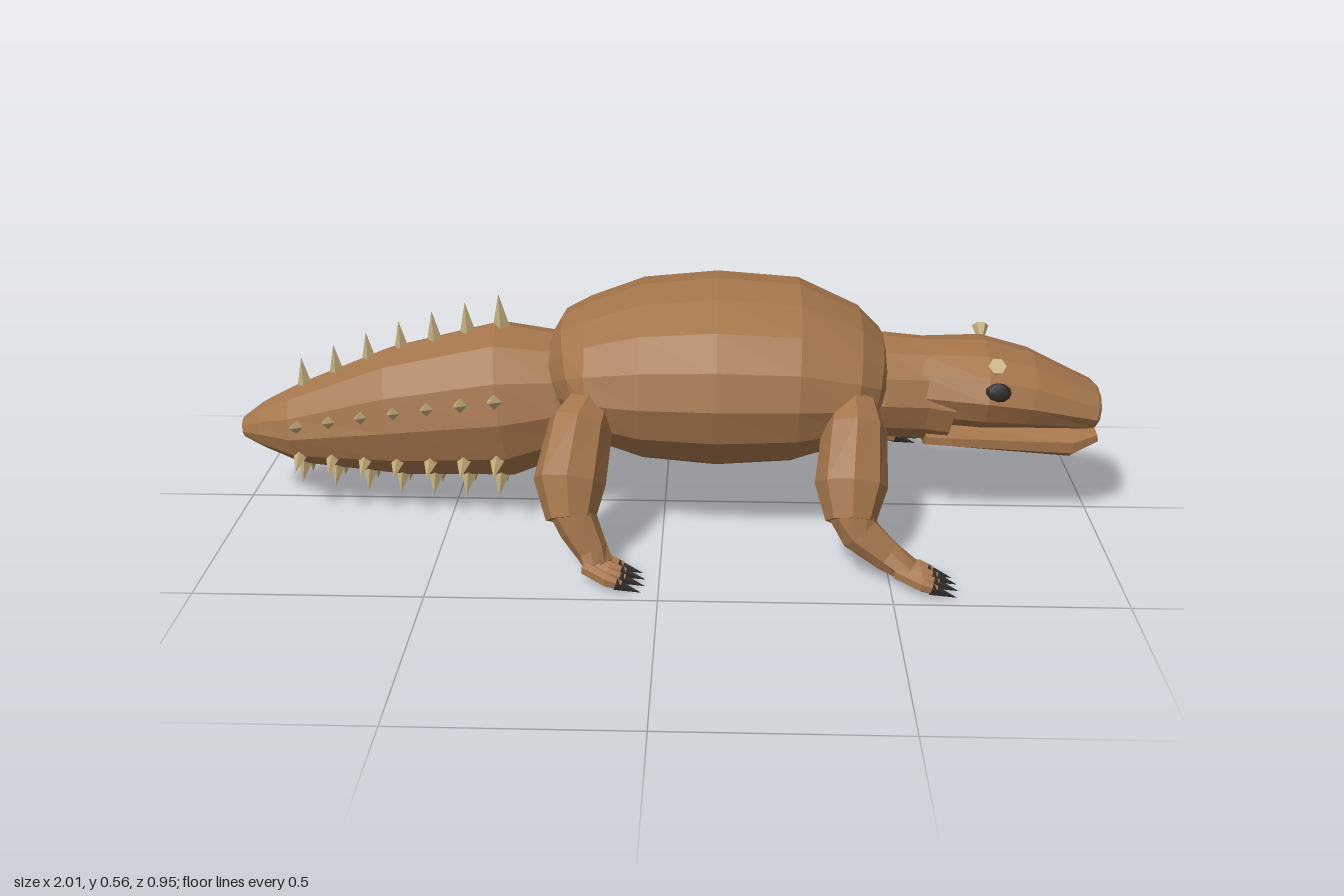
import * as THREE from 'three';

const V = (x, y, z) => new THREE.Vector3(x, y, z);

// Faceted skin over elliptical rings. Each ring is [x, y, z, radiusU, radiusV];
// U follows the ref direction, V is perpendicular to it and to the path.
function loft(rings, sides, ref) {
  const centres = rings.map((r) => V(r[0], r[1], r[2]));
  const pos = [], index = [];
  rings.forEach((r, i) => {
    const t = centres[Math.min(i + 1, rings.length - 1)].clone()
      .sub(centres[Math.max(i - 1, 0)]).normalize();
    const u = ref.clone().addScaledVector(t, -ref.dot(t)).normalize();
    const v = t.clone().cross(u);
    for (let j = 0; j < sides; j++) {
      const a = (j / sides) * Math.PI * 2;
      const p = centres[i].clone().addScaledVector(u, r[3] * Math.cos(a)).addScaledVector(v, r[4] * Math.sin(a));
      pos.push(p.x, p.y, p.z);
    }
  });
  const n = rings.length, first = n * sides;
  for (const c of [centres[0], centres[n - 1]]) pos.push(c.x, c.y, c.z);
  for (let j = 0; j < sides; j++) {
    const k = (j + 1) % sides;
    for (let i = 0; i < n - 1; i++) {
      const a = i * sides + j, b = i * sides + k;
      index.push(a, b, b + sides, a, b + sides, a + sides);
    }
    index.push(first, k, j, first + 1, (n - 1) * sides + j, (n - 1) * sides + k);
  }
  const g = new THREE.BufferGeometry();
  g.setAttribute('position', new THREE.Float32BufferAttribute(pos, 3));
  g.setIndex(index);
  const flat = g.toNonIndexed();
  flat.computeVertexNormals();
  return flat;
}

export function createModel() {
  const root = new THREE.Group();
  root.name = 'lizard';
  const material = (name, color) => {
    const m = new THREE.MeshStandardMaterial({ color });
    m.name = name;
    return m;
  };
  const skin = material('brown skin', 0xa4754b);
  const horn = material('tan horn', 0xc2ad7b);
  const dark = material('dark claw', 0x302d2a);
  const UP = V(0, 1, 0), FORWARD = V(1, 0, 0);

  const add = (name, geometry, mat, parent = root) => {
    const mesh = new THREE.Mesh(geometry, mat);
    mesh.name = name;
    parent.add(mesh);
    return mesh;
  };
  // Rings strung along x: [x, centre y, half height, half width]
  const alongX = (name, rings, sides) =>
    add(name, loft(rings.map(([x, y, h, w]) => [x, y, 0, h, w]), sides, UP), skin);
  // Pointed cone from a base centre to a tip
  const spike = (name, base, tip, radius, sides, mat, parent, ref = FORWARD) =>
    add(name, loft([[...base, radius, radius], [...tip, 0.0005, 0.0005]], sides, ref), mat, parent);

  alongX('body', [
    [-0.24, 0.335, 0.09, 0.15], [-0.2, 0.35, 0.135, 0.22], [-0.17, 0.355, 0.155, 0.25],
    [-0.05, 0.357, 0.2, 0.28], [0.12, 0.358, 0.216, 0.29], [0.3, 0.357, 0.203, 0.282],
    [0.43, 0.345, 0.15, 0.245], [0.475, 0.335, 0.11, 0.2], [0.492, 0.33, 0.08, 0.15],
  ], 16);

  alongX('tail', [
    [-1, 0.192, 0.025, 0.035], [-0.95, 0.2, 0.055, 0.07], [-0.87, 0.203, 0.092, 0.108],
    [-0.63, 0.24, 0.155, 0.15], [-0.37, 0.275, 0.185, 0.18], [-0.24, 0.29, 0.148, 0.155],
    [-0.16, 0.3, 0.12, 0.12],
  ], 12);

  alongX('neck', [
    [0.42, 0.325, 0.115, 0.15], [0.5, 0.322, 0.117, 0.15], [0.6, 0.314, 0.118, 0.135],
    [0.66, 0.305, 0.115, 0.135],
  ], 12);
  alongX('head', [
    [0.58, 0.335, 0.095, 0.128], [0.73, 0.332, 0.1, 0.157], [0.83, 0.317, 0.086, 0.146],
    [0.985, 0.278, 0.05, 0.108], [0.993, 0.276, 0.045, 0.098],
  ], 12);
  alongX('lowerJaw', [
    [0.6, 0.222, 0.03, 0.11], [0.66, 0.22, 0.03, 0.115], [0.94, 0.202, 0.042, 0.097],
    [1, 0.217, 0.024, 0.07],
  ], 10);

  // Tail spikes: five rows round one side, growing taller with the tail
  const tailSpikes = new THREE.Group();
  tailSpikes.name = 'tailSpikes';
  root.add(tailSpikes);
  for (const degrees of [0, 73, 122, 152, 188]) {
    const a = THREE.MathUtils.degToRad(degrees), c = Math.cos(a), s = Math.sin(a);
    for (let i = 0; i < 7; i++) {
      const f = i / 6, x = -0.85 + f * 0.47;
      const y = 0.207 + f * 0.068, h = 0.09 + f * 0.093 + Math.sin(f * Math.PI) * 0.012;
      const w = 0.105 + f * 0.07;
      const l = degrees === 0 ? 0.07 : 0.05;
      spike('tailSpike', [x, y + c * (h - 0.012), s * (w - 0.012)],
        [x - 0.005, y + c * (h + l), s * (w + l)], 0.021, 4, horn, tailSpikes);
    }
  }

  for (const side of [1, -1]) {
    const label = side > 0 ? 'left' : 'right';

    // Eye and the small horn flaring outwards above it
    const eye = add(label + 'Eye', new THREE.SphereGeometry(1, 8, 6), dark);
    eye.scale.set(0.03, 0.024, 0.014);
    eye.position.set(0.75, 0.355, side * 0.143);
    spike(label + 'BrowHorn', [0.745, 0.418, side * 0.138], [0.745, 0.383, side * 0.1], 0.02, 6, horn, root);

    // Legs: hip, thigh, knee, shin, ankle, palm as [x, y, z, radius along x, radius across]
    const legs = {
      FrontLeg: [0.42, [
        [0.005, 0.335, 0.19, 0.055, 0.065], [0.005, 0.3, 0.235, 0.072, 0.085],
        [-0.003, 0.2, 0.31, 0.08, 0.078], [-0.005, 0.135, 0.355, 0.055, 0.052]]],
      HindLeg: [-0.145, [
        [-0.01, 0.335, 0.19, 0.055, 0.065], [-0.035, 0.3, 0.235, 0.072, 0.085],
        [-0.055, 0.2, 0.31, 0.08, 0.078], [-0.05, 0.13, 0.355, 0.055, 0.052]]],
    };
    for (const [kind, [x0, rings]] of Object.entries(legs)) {
      const leg = new THREE.Group();
      leg.name = label + kind;
      root.add(leg);
      const place = ([x, y, z, ...r]) => [x0 + x, y, side * z, ...r];
      add('leg', loft(rings.map(place), 8, FORWARD), skin, leg);

      // Shin bending forward into the palm
      const ankleX = rings[3][0];
      const palmX = kind === 'FrontLeg' ? 0.125 : -0.005 + 0.02;
      add('foot', loft([
        [ankleX, 0.155, 0.345, 0.05, 0.05], [ankleX + 0.02, 0.11, 0.36, 0.046, 0.044],
        [(ankleX + palmX) / 2 + 0.015, 0.065, 0.378, 0.036, 0.036],
        [palmX, 0.038, 0.395, 0.022, 0.04],
      ].map(place), 8, UP), skin, leg);

      // Four splayed toes, each with a claw
      for (let i = 0; i < 4; i++) {
        const spread = i / 3, reach = 0.008 * Math.sin(spread * Math.PI);
        const z = 0.372 + spread * 0.09;
        const tipX = palmX + 0.05 + reach;
        add('toe', loft([
          [palmX - 0.03, 0.042, 0.375 + spread * 0.04, 0.016, 0.014],
          [palmX + 0.02, 0.036, z - 0.004, 0.016, 0.014],
          [tipX, 0.027, z, 0.011, 0.01],
        ].map(place), 6, UP), skin, leg);
        spike('claw', place([tipX - 0.012, 0.029, z]), place([tipX + 0.042, 0.012, z + 0.003]),
          0.014, 6, dark, leg, UP);
      }
    }
  }
  return root;
}
